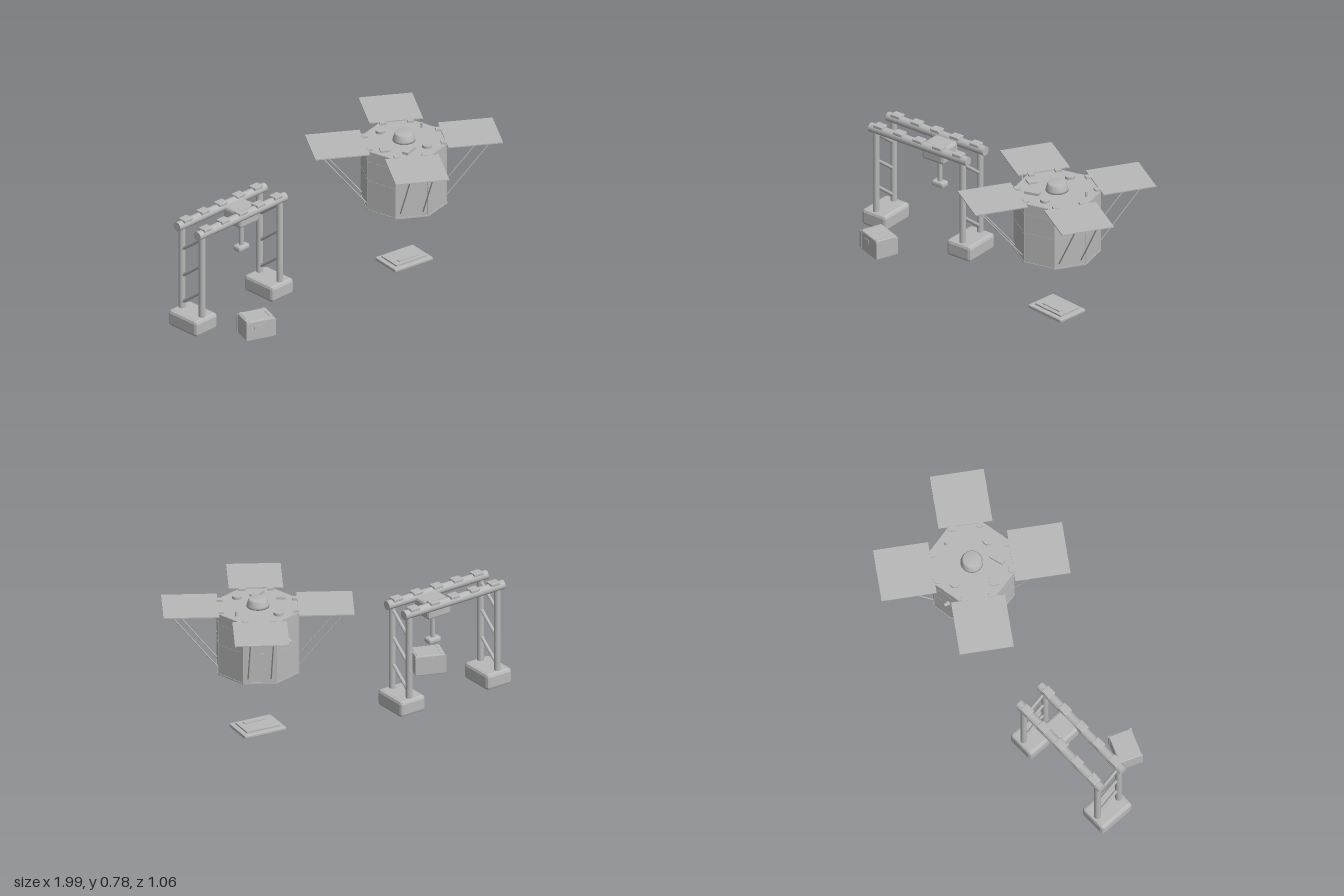
import * as THREE from 'three';
import { RoundedBoxGeometry } from 'three/addons/geometries/RoundedBoxGeometry.js';

const RAD = Math.PI / 180;
const grey = new THREE.MeshStandardMaterial({ color: 0xb8b8b8 });
grey.name = 'plain grey';

function add(parent, name, geo, x = 0, y = 0, z = 0, turn = 0) {
  const m = new THREE.Mesh(geo, grey);
  m.name = name;
  m.position.set(x, y, z);
  m.rotation.y = turn * RAD;
  parent.add(m);
  return m;
}
const box = (w, h, d) => new THREE.BoxGeometry(w, h, d);
const cyl = (rt, rb, h, n = 16) => new THREE.CylinderGeometry(rt, rb, h, n);
function facet(geo) {
  const g = geo.index ? geo.toNonIndexed() : geo;
  g.computeVertexNormals();
  return g;
}
const chamferBox = (w, h, d, r) => facet(new RoundedBoxGeometry(w, h, d, 1, r));

// Cylinder joining two points
function rod(parent, name, a, b, r, n = 8) {
  const A = new THREE.Vector3(...a), B = new THREE.Vector3(...b);
  const dir = B.clone().sub(A);
  const m = add(parent, name, cyl(r, r, dir.length(), n));
  m.position.copy(A).add(B).multiplyScalar(0.5);
  m.quaternion.setFromUnitVectors(new THREE.Vector3(0, 1, 0), dir.normalize());
  return m;
}
function group(parent, name, x, z, turn = 0) {
  const g = new THREE.Group();
  g.name = name;
  g.position.set(x, 0, z);
  g.rotation.y = turn * RAD;
  parent.add(g);
  return g;
}

// Octagonal spacecraft with four solar panels
function buildSatellite(root) {
  const sat = group(root, 'satellite', 0.472, 0, -25);
  const R = 0.235, apothem = R * Math.cos(Math.PI / 8), side = 2 * R * Math.sin(Math.PI / 8);
  const prism = (r, h) => facet(new THREE.CylinderGeometry(r, r, h, 8, 1, false, Math.PI / 8));
  add(sat, 'body', prism(R, 0.36), 0, 0.55, 0);
  add(sat, 'bottomHem', prism(R + 0.003, 0.008), 0, 0.373, 0);
  add(sat, 'topHem', prism(R + 0.003, 0.008), 0, 0.725, 0);

  for (let k = 0; k < 8; k++) {
    const f = group(sat, 'bodySide', 0, 0, k * 45);
    // Blanket seams
    add(f, 'seam', box(0.002, 0.003, side), apothem, 0.55, 0);
    add(f, 'seam', box(0.002, 0.003, side), apothem, 0.665, 0);
    const c = group(f, 'cornerSeam', 0, 0, 22.5);
    add(c, 'cornerPiping', cyl(0.003, 0.003, 0.35, 6), R - 0.001, 0.55, 0);
    if (k % 2) continue;
    // Panel, hinges and struts
    add(f, 'solarPanel', box(0.3, 0.006, 0.294), 0.364, 0.735, 0);
    for (const s of [-1, 1]) {
      add(f, 'hinge', box(0.03, 0.012, 0.035), 0.203, 0.735, s * 0.076);
      rod(f, 'strut', [0.488, 0.733, s * 0.062], [0.216, 0.4, s * 0.062], 0.004, 6);
    }
  }

  // Deck equipment
  const deck = group(root, 'deck', 0.472, 0);
  const profile = [[0, 0.728], [0.062, 0.728], [0.06, 0.742], [0.052, 0.768], [0.046, 0.777], [0, 0.778]];
  add(deck, 'mainAntenna', new THREE.LatheGeometry(
    profile.map(p => new THREE.Vector2(...p)), 28));
  add(deck, 'deckDisc', cyl(0.027, 0.027, 0.016, 20), -0.05, 0.737, -0.145);
  add(deck, 'deckDisc', cyl(0.027, 0.027, 0.016, 20), 0.053, 0.737, 0.139);
  add(deck, 'deckBox', box(0.05, 0.012, 0.05), -0.158, 0.735, 0.037, -25);
  add(deck, 'deckBox', box(0.085, 0.016, 0.036), -0.06, 0.737, 0.125, 25);
  add(deck, 'smallMast', cyl(0.007, 0.007, 0.032, 10), 0.163, 0.742, -0.06);
  const nozzle = add(deck, 'sideSensor', cyl(0.008, 0.016, 0.03, 10), -0.079, 0.59, -0.218);
  nozzle.rotation.set(-90 * RAD, 0, 0);
}

// Portal crane with twin beams and a trolley
function buildGantry(root) {
  const g = group(root, 'gantry', -0.615, -0.09, 8.4);
  const W = 0.077, L = 0.293;
  for (const e of [-1, 1]) {
    add(g, 'foot', chamferBox(0.165, 0.095, 0.22, 0.018), e * 0.287, 0.0475, 0);
    for (const s of [-1, 1])
      add(g, 'post', cyl(0.0185, 0.0185, 0.51), e * L, 0.335, s * W);
    for (const y of [0.185, 0.345, 0.505])
      rod(g, 'brace', [e * L, y + 0.06, W], [e * L, y - 0.06, -W], 0.01, 10);
  }
  for (const s of [-1, 1]) {
    rod(g, 'beam', [-0.33, 0.592, s * W], [0.33, 0.592, s * W], 0.026, 18);
    for (let i = -2; i <= 2; i++)
      add(g, 'railClamp', chamferBox(0.06, 0.018, 0.05, 0.004), i * 0.133, 0.617, s * W);
  }
  // Trolley, hoist and hook block
  add(g, 'trolley', chamferBox(0.15, 0.095, 0.135, 0.015), 0.08, 0.553, 0);
  add(g, 'hoist', cyl(0.013, 0.013, 0.15), 0.08, 0.435, 0);
  add(g, 'hookBlock', chamferBox(0.08, 0.032, 0.053, 0.01), 0.08, 0.351, 0);
}

// Cargo crate with lid, corner guards and latch
function buildCrate(root) {
  const c = group(root, 'crate', -0.674, 0.222, -12.7);
  add(c, 'crateBody', chamferBox(0.166, 0.116, 0.13, 0.006), 0, 0.058, 0);
  for (const x of [-1, 1]) {
    for (const z of [-1, 1])
      add(c, 'cornerGuard', box(0.014, 0.098, 0.014), x * 0.079, 0.058, z * 0.061);
    add(c, 'lidStrip', box(0.014, 0.006, 0.12), x * 0.066, 0.115, 0);
  }
  add(c, 'latch', box(0.045, 0.022, 0.006), -0.015, 0.076, 0.065);
}

// Low ground pad
function buildPad(root) {
  const p = group(root, 'pad', 0.472, 0.001);
  add(p, 'padBase', chamferBox(0.252, 0.02, 0.186, 0.005), 0, 0.01, 0);
  add(p, 'padPlate', box(0.2, 0.012, 0.135), 0, 0.023, 0);
  add(p, 'padBar', box(0.13, 0.006, 0.02), 0, 0.031, 0.035);
}

export function createModel() {
  const root = new THREE.Group();
  root.name = 'spaceYard';
  buildSatellite(root);
  buildGantry(root);
  buildCrate(root);
  buildPad(root);
  return root;
}
